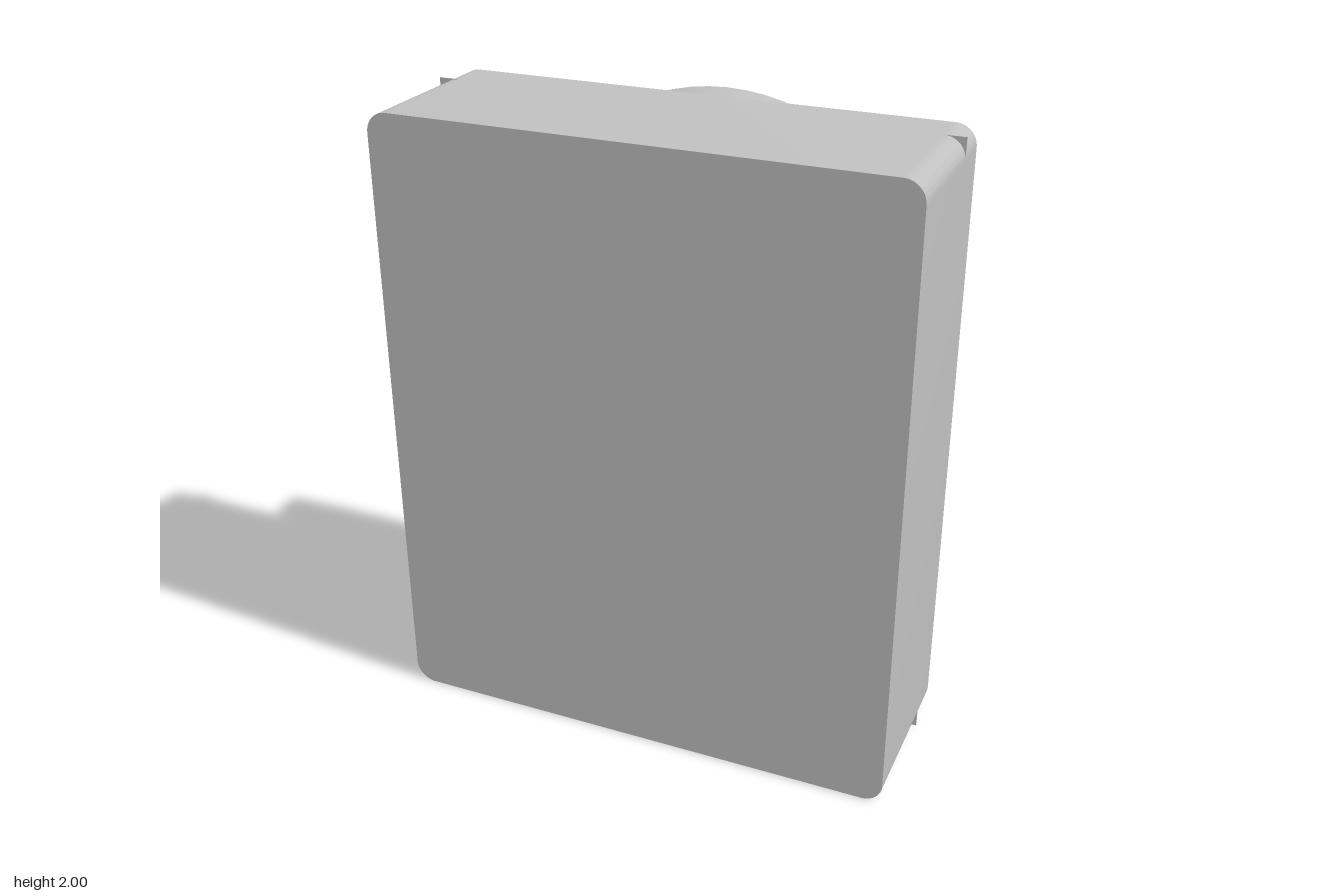
import * as THREE from 'three';
import { toCreasedNormals } from 'three/addons/utils/BufferGeometryUtils.js';

const W = 0.83, H = 1, FRONT = 0.37, BACK = -0.192, BEVEL = 0.015;

function roundedRect(w, h, r) {
  const s = new THREE.Shape();
  s.moveTo(-w + r, -h);
  s.lineTo(w - r, -h);
  s.absarc(w - r, -h + r, r, -Math.PI / 2, 0, false);
  s.lineTo(w, h - r);
  s.absarc(w - r, h - r, r, 0, Math.PI / 2, false);
  s.lineTo(-w + r, h);
  s.absarc(-w + r, h - r, r, Math.PI / 2, Math.PI, false);
  s.lineTo(-w, -h + r);
  s.absarc(-w + r, -h + r, r, Math.PI, Math.PI * 1.5, false);
  return s;
}

export function createModel() {
  const group = new THREE.Group();
  const grey = new THREE.MeshStandardMaterial({ color: 0xc0c0c0 });
  grey.name = 'light grey';

  const add = (name, geometry, x = 0, y = 0, z = 0) => {
    const mesh = new THREE.Mesh(geometry, grey);
    mesh.name = name;
    mesh.position.set(x, y, z);
    group.add(mesh);
    return mesh;
  };

  // Housing: bevelled around the back edge, flat with a sharp edge at the front
  const housing = new THREE.ExtrudeGeometry(roundedRect(W, H, 0.065), {
    depth: FRONT - BACK - 2 * BEVEL, curveSegments: 8,
    bevelEnabled: true, bevelSegments: 1, bevelSize: BEVEL, bevelThickness: BEVEL, bevelOffset: -BEVEL,
  });
  housing.translate(0, 0, BACK + BEVEL);
  const p = housing.attributes.position;
  for (let i = 0; i < p.count; i++) if (p.getZ(i) > 0.2) p.setZ(i, FRONT);
  add('housing', toCreasedNormals(housing, 0.4), 0, H, 0);

  // Square-cornered inner divider whose tips show at the rounded corners
  add('innerDivider', new THREE.BoxGeometry(2 * W, 2 * H, 0.004), 0, H, -0.045);

  // Thin cover plate on the back
  add('backPlate', new THREE.BoxGeometry(1.6, 1.93, 0.012), 0, 1.003, -0.207);

  // Corner screws
  for (const x of [-0.738, 0.738]) {
    for (const y of [0.115, 1.89]) {
      const screw = new THREE.CylinderGeometry(0.031, 0.031, 0.02, 24);
      screw.rotateX(Math.PI / 2);
      add('screw', screw, x, y, -0.217);
    }
  }

  // Large collar ring, slightly stepped inside, standing clear of the plate
  const profile = [
    [0.705, 0.25], [0.705, 0.37], [0.633, 0.37], [0.633, 0.31], [0.625, 0.31], [0.625, 0.25], [0.705, 0.25],
  ].map(([r, y]) => new THREE.Vector2(r, y));
  const ring = new THREE.LatheGeometry(profile, 72);
  ring.rotateX(-Math.PI / 2);
  add('collarRing', toCreasedNormals(ring, 0.4), 0, 1.27, 0);

  return group;
}
